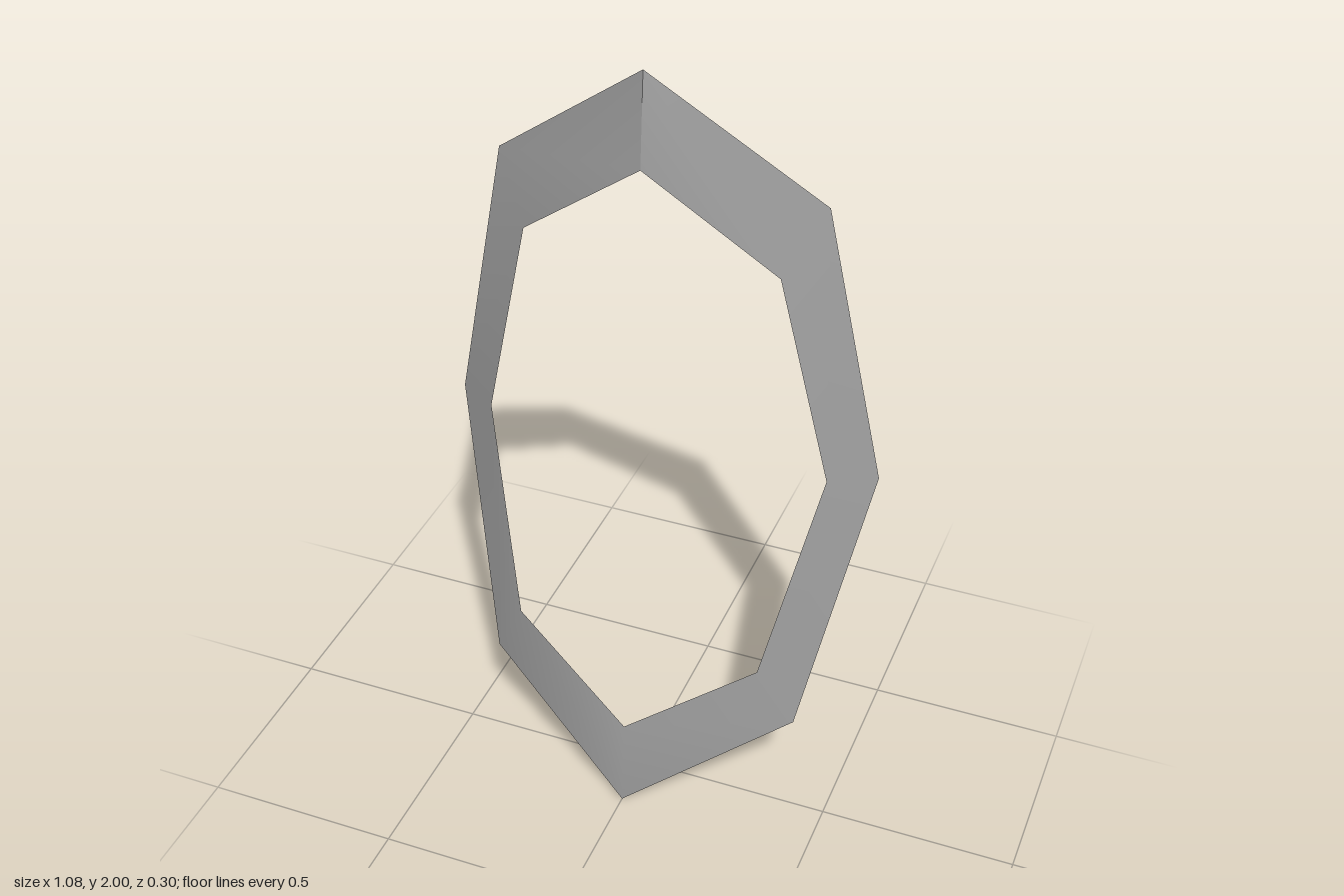
import * as THREE from 'three';

// Half of the ring from top to bottom: [outer corner, inner corner]
const HALF = [
  [[0, 2, 0], [0, 1.77, 0.016]],
  [[0.395, 1.695, -0.107], [0.31, 1.535, -0.04]],
  [[0.54, 0.98, -0.148], [0.433, 0.99, -0.076]],
  [[0.407, 0.282, 0], [0.319, 0.455, 0.042]],
  [[0, 0, 0.148], [0, 0.24, 0.131]],
];

export function createModel() {
  const group = new THREE.Group();
  const grey = new THREE.MeshStandardMaterial({ color: 0xa0a0a0, side: THREE.DoubleSide });
  grey.name = 'grey';

  // Mirror the half; the top pair is repeated so its seam stays sharp
  const mirrored = HALF.slice(0, -1).reverse()
    .map(pair => pair.map(([x, y, z]) => [-x, y, z]));
  const ring = [...HALF, ...mirrored];

  // Flat band of quads between the outer and inner corners
  const index = [];
  for (let k = 0; k < ring.length - 1; k++) {
    const o = 2 * k, i = o + 1, o2 = o + 2, i2 = o + 3;
    index.push(o, i, i2, o, i2, o2);
  }
  const geometry = new THREE.BufferGeometry();
  geometry.setAttribute('position', new THREE.Float32BufferAttribute(ring.flat(2), 3));
  geometry.setIndex(index);
  geometry.computeVertexNormals();

  const frame = new THREE.Mesh(geometry, grey);
  frame.name = 'bentFrame';
  group.add(frame);
  return group;
}
